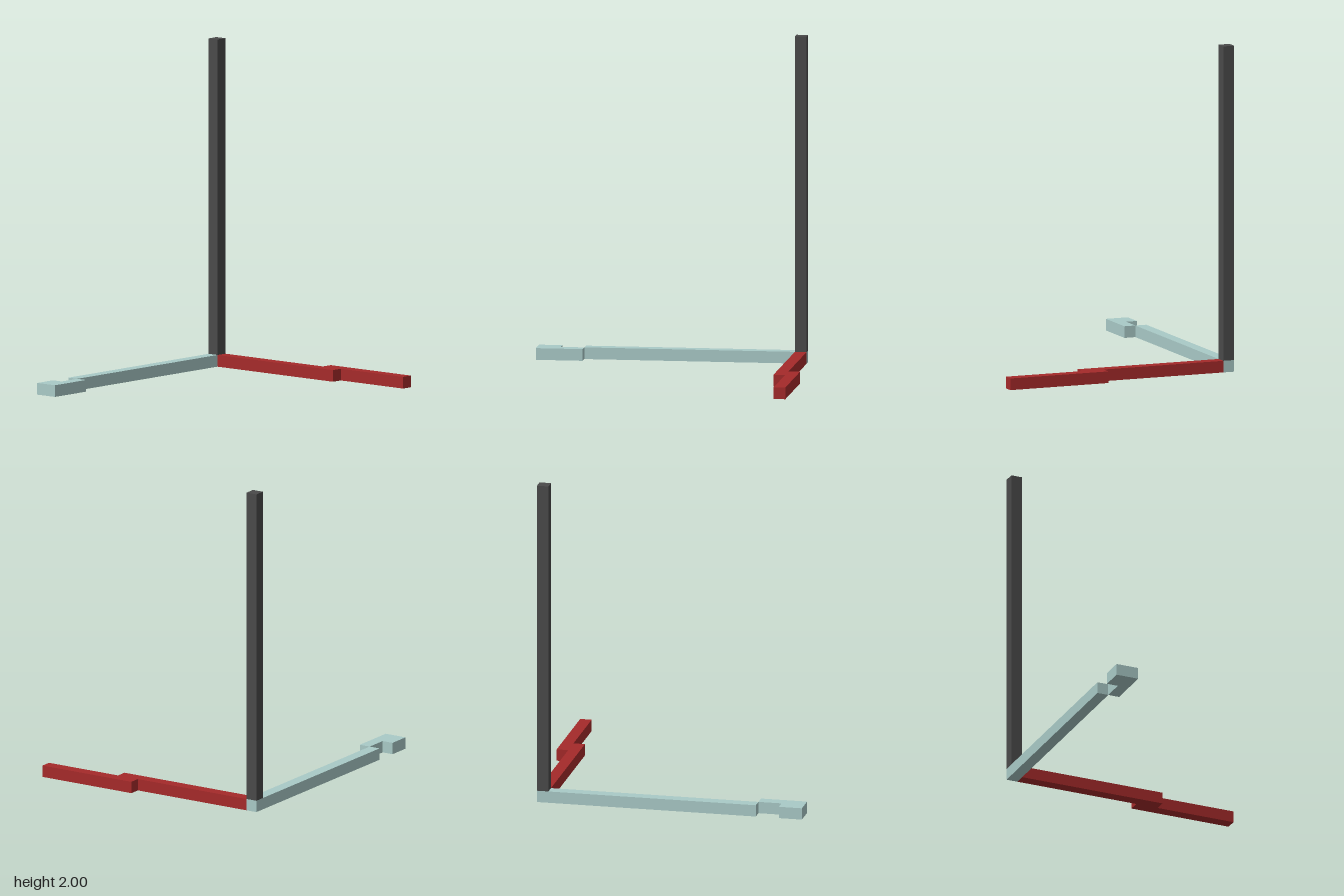
import * as THREE from 'three';

const U = 1 / 14; // one grid cell; every part is one cell thick

const paleTeal = new THREE.MeshStandardMaterial({ color: 0xa9cac7 });
const brickRed = new THREE.MeshStandardMaterial({ color: 0xa52a2a });
const charcoal = new THREE.MeshStandardMaterial({ color: 0x4a4a4a });

// Extrudes a floor outline, given as [x, z] in cells, upward from one level to another
function slab(name, outline, bottom, top, material) {
  const shape = new THREE.Shape(outline.map(([x, z]) => new THREE.Vector2(x * U, -z * U)));
  const geometry = new THREE.ExtrudeGeometry(shape, { depth: (top - bottom) * U, bevelEnabled: false });
  geometry.rotateX(-Math.PI / 2).translate(0, bottom * U, 0);
  const mesh = new THREE.Mesh(geometry, material);
  mesh.name = name;
  return mesh;
}

const rect = (x0, z0, x1, z1) => [[x0, z0], [x0, z1], [x1, z1], [x1, z0]];

export function createModel() {
  const model = new THREE.Group();
  model.name = 'threeArmFrame';
  model.add(
    // Tall post standing on the corner of the back rail
    slab('post', rect(10, -10.5, 11, -9.5), 1, 28, charcoal),
    // Back rail, running under the post
    slab('backRail', rect(-8, -10.5, 11, -9.5), 0, 1, paleTeal),
    // L-shaped hook meeting the back rail at its corner
    slab('backRailHook', [[-12, -10.5], [-12, -8.5], [-8, -8.5], [-8, -9.5], [-10, -9.5], [-10, -10.5]], 0, 1, paleTeal),
    // Side rail: two lapped bars stepping outward
    slab('sideRail', [[10, -9.5], [10, 3.5], [11, 3.5], [11, 10.5], [12, 10.5], [12, 1.5], [11, 1.5], [11, -9.5]], 0, 1, brickRed),
  );
  return model;
}
